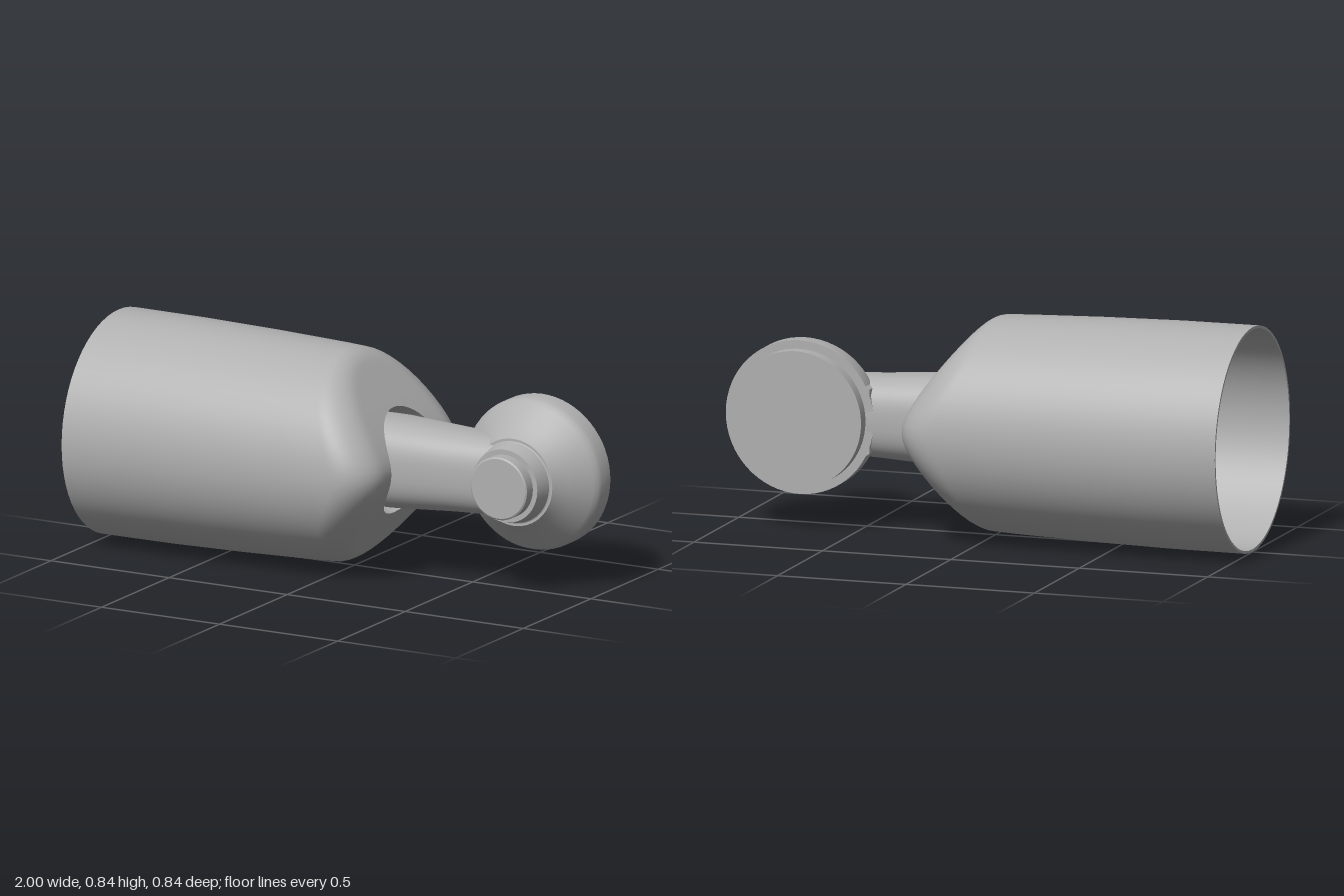
import * as THREE from 'three';
import { toCreasedNormals } from 'three/addons/utils/BufferGeometryUtils.js';

const CY = 0.423;
const grey = new THREE.MeshStandardMaterial({ color: 0xb0b0b0, side: THREE.DoubleSide });
grey.name = 'grey';

// Skin a list of closed rings of [x, y, z] points
function loft(rings) {
  const n = rings[0].length, index = [];
  for (let i = 0; i < rings.length - 1; i++) {
    for (let j = 0; j < n; j++) {
      const a = i * n + j, b = i * n + (j + 1) % n;
      index.push(a, b, a + n, b, b + n, a + n);
    }
  }
  const g = new THREE.BufferGeometry();
  g.setAttribute('position', new THREE.Float32BufferAttribute(rings.flat(2), 3));
  g.setIndex(index);
  return toCreasedNormals(g, 0.65);
}

function ring(n, fn) {
  return Array.from({ length: n }, (_, j) => fn((j / n) * Math.PI * 2));
}

function createSleeve() {
  const N = 64, STEPS = 18, HOLE = 0.2, R = 0.4;
  const tube = (x, r) => ring(N, a => [x, CY + r * Math.cos(a), r * Math.sin(a)]);
  // Wedge-shaped end with a rounded tip and a soft outer edge
  const endX = (r, a) => {
    const fillet = 0.04 + 0.11 * Math.sin(a) ** 2;
    const over = Math.max(0, r - (R - fillet));
    const drop = fillet - Math.sqrt(Math.max(0, fillet * fillet - over * over));
    return 0.333 - Math.hypot(0.063, 0.78 * r * Math.cos(a)) - drop;
  };
  const cap = (t, inset) => ring(N, a => {
    const r = HOLE + (R - HOLE) * Math.cos(t * Math.PI / 2);
    const s = r - inset * (r - HOLE) / (R - HOLE);
    return [endX(r, a) - inset, CY + s * Math.cos(a), s * Math.sin(a)];
  });
  const body = [[-1, 0.421], [-0.7, 0.42], [-0.4, 0.414], [-0.1, 0.404]];
  const rings = [];
  // Inner wall, open rim, outer wall, then the tapered socket
  for (let i = STEPS; i >= 0; i--) rings.push(cap(i / STEPS, 0.012));
  for (const [x, r] of [...body].reverse()) rings.push(tube(x, r - 0.01));
  for (const [x, r] of body) rings.push(tube(x, r));
  for (let i = 0; i <= STEPS; i++) rings.push(cap(i / STEPS, 0));
  rings.push(tube(0.06, 0.15));
  return loft(rings);
}

function createArm() {
  // x, half height, back z, front z
  const stations = [
    [0.05, 0.168, -0.157, 0.17], [0.2, 0.168, -0.156, 0.165],
    [0.45, 0.153, -0.146, 0.137], [0.6, 0.148, -0.135, 0.12], [0.71, 0.14, -0.12, 0.11],
  ];
  const p = v => Math.sign(v) * Math.abs(v) ** 0.75;
  return loft(stations.map(([x, h, z0, z1]) => ring(48, a => [
    x, CY + h * p(Math.cos(a)), (z0 + z1) / 2 + (z1 - z0) / 2 * p(Math.sin(a)),
  ])));
}

// Turned part whose axis runs along z
function turned(profile) {
  const g = new THREE.LatheGeometry(profile.map(([r, z]) => new THREE.Vector2(r, z)), 64);
  return toCreasedNormals(g.rotateX(Math.PI / 2), 0.4);
}

export function createModel() {
  const model = new THREE.Group();
  const add = (name, geometry, x = 0, y = 0, z = 0) => {
    const m = new THREE.Mesh(geometry, grey);
    m.name = name;
    m.position.set(x, y, z);
    model.add(m);
    return m;
  };

  add('sleeve', createSleeve());
  add('arm', createArm());

  // Round head: back plate, flared dish, neck and front knob
  const HX = 0.712;
  add('backPlate', turned([[0, -0.195], [0.256, -0.195], [0.256, -0.14], [0, -0.14]]), HX, CY, 0);
  add('dish', turned([
    [0, -0.145], [0.288, -0.145], [0.288, -0.082], [0.283, -0.066], [0.27, -0.05],
    [0.235, -0.015], [0.205, 0.02], [0.182, 0.045], [0.165, 0.07], [0, 0.07],
  ]), HX, CY, 0);
  add('neck', turned([[0.165, 0.065], [0.152, 0.072], [0.138, 0.134], [0, 0.134]]), HX, CY, 0);
  add('knob', turned([[0.119, 0.13], [0.119, 0.178], [0.113, 0.182], [0, 0.182]]), HX, CY, 0);

  // Flared bracket joining the arm to the dish
  const s = new THREE.Shape();
  s.moveTo(0.44, -0.12);
  s.lineTo(0.49, -0.155);
  s.quadraticCurveTo(0.53, -0.17, 0.58, -0.235);
  s.lineTo(0.58, 0.235);
  s.quadraticCurveTo(0.53, 0.17, 0.49, 0.155);
  s.lineTo(0.44, 0.12);
  s.closePath();
  add('bracket', new THREE.ExtrudeGeometry(s, { depth: 0.07, bevelEnabled: false }), 0, CY, -0.145);

  // Small pins on the upper and lower bracket edges
  for (const side of [1, -1]) {
    add('pin', new THREE.CylinderGeometry(0.014, 0.014, 0.03, 16), 0.495, CY + side * 0.15, -0.088);
  }
  return model;
}
